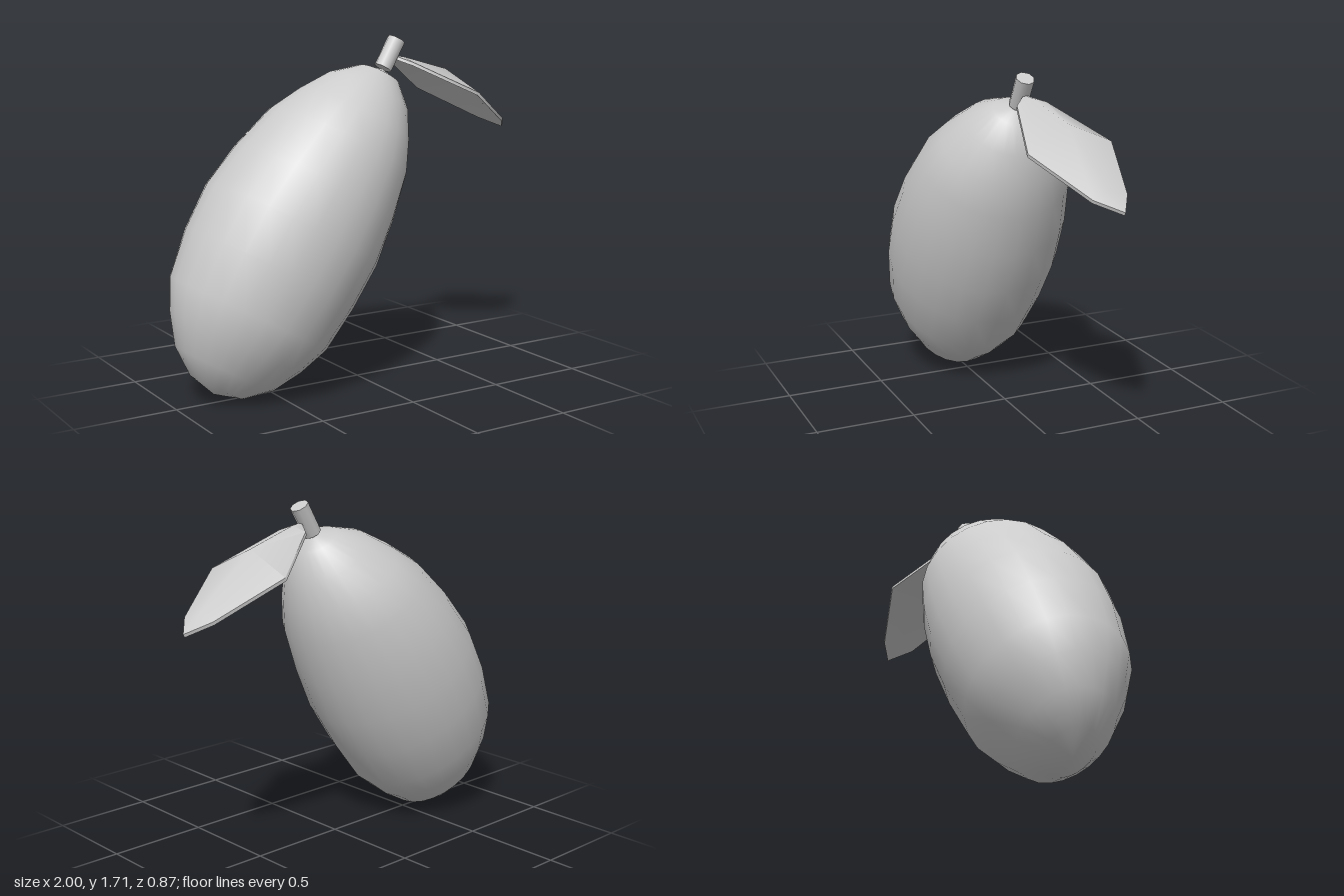
import * as THREE from 'three';
import { mergeVertices, toCreasedNormals } from 'three/addons/utils/BufferGeometryUtils.js';

const material = new THREE.MeshStandardMaterial({ color: 0xcccccc });
const TILT = -Math.PI / 6;

function addMesh(group, name, geometry) {
  const mesh = new THREE.Mesh(geometry, material);
  mesh.name = name;
  group.add(mesh);
  return mesh;
}

// Rings of the fruit from top to bottom: [height along axis, half breadth]
const RINGS = [
  [0.92, 0], [0.886, 0.107], [0.781, 0.219], [0.64, 0.3], [0.49, 0.37],
  [0.255, 0.428], [0.025, 0.465], [-0.207, 0.458], [-0.447, 0.427],
  [-0.594, 0.36], [-0.73, 0.272], [-0.826, 0.147], [-0.862, 0],
];

// Sphere reshaped ring by ring, with a slightly bent axis
function fruitGeometry() {
  const sphere = new THREE.SphereGeometry(1, 24, 12);
  sphere.deleteAttribute('uv');
  sphere.deleteAttribute('normal');
  const p = sphere.attributes.position;
  for (let i = 0; i < p.count; i++) {
    const angle = Math.acos(THREE.MathUtils.clamp(p.getY(i), -1, 1));
    const k = Math.round(angle / (Math.PI / 12));
    const [h, r] = RINGS[k];
    const bend = -0.02 + 0.0625 * (h + 0.3) ** 2;
    const s = Math.sin((k * Math.PI) / 12) || 1;
    p.setXYZ(i, bend + (p.getX(i) / s) * r, h, p.getZ(i) * 0.435);
  }
  const geometry = mergeVertices(sphere, 1e-4);
  geometry.computeVertexNormals();
  return geometry;
}

// Thin folded leaf: each station is [left edge, ridge, right edge]
function leafGeometry() {
  const base = [0.215, 1.62, 0];
  const tip = [1.0, 1.225, -0.11];
  const stations = [
    [base, base, base],
    [[0.29, 1.585, 0.07], [0.28, 1.612, -0.01], [0.27, 1.59, -0.09]],
    [[0.62, 1.43, 0.17], [0.57, 1.54, -0.05], [0.56, 1.44, -0.28]],
    [[0.91, 1.27, 0], [0.9, 1.295, -0.09], [0.89, 1.275, -0.18]],
    [tip, tip, tip],
  ];
  const positions = [];
  const index = [];
  for (const top of stations) {
    const under = top.map(([x, y, z]) => [x - 0.007, y - 0.015, z]).reverse();
    positions.push(...[...top, ...under].flat());
  }
  for (let i = 0; i < stations.length - 1; i++) {
    for (let j = 0; j < 6; j++) {
      const a = i * 6 + j, b = i * 6 + ((j + 1) % 6);
      index.push(a, a + 6, b, b, a + 6, b + 6);
    }
  }
  const geometry = new THREE.BufferGeometry();
  geometry.setAttribute('position', new THREE.Float32BufferAttribute(positions, 3));
  geometry.setIndex(index);
  return toCreasedNormals(geometry, 1.15);
}

export function createModel() {
  const model = new THREE.Group();
  model.name = 'fruit';

  const body = addMesh(model, 'body', fruitGeometry());
  body.rotation.z = TILT;
  body.position.set(-0.375, 0.795, 0);

  const stem = addMesh(model, 'stem', new THREE.CylinderGeometry(0.046, 0.046, 0.16, 8));
  stem.rotation.z = TILT;
  stem.position.set(0.19, 1.63, 0);

  addMesh(model, 'leaf', leafGeometry());
  return model;
}
